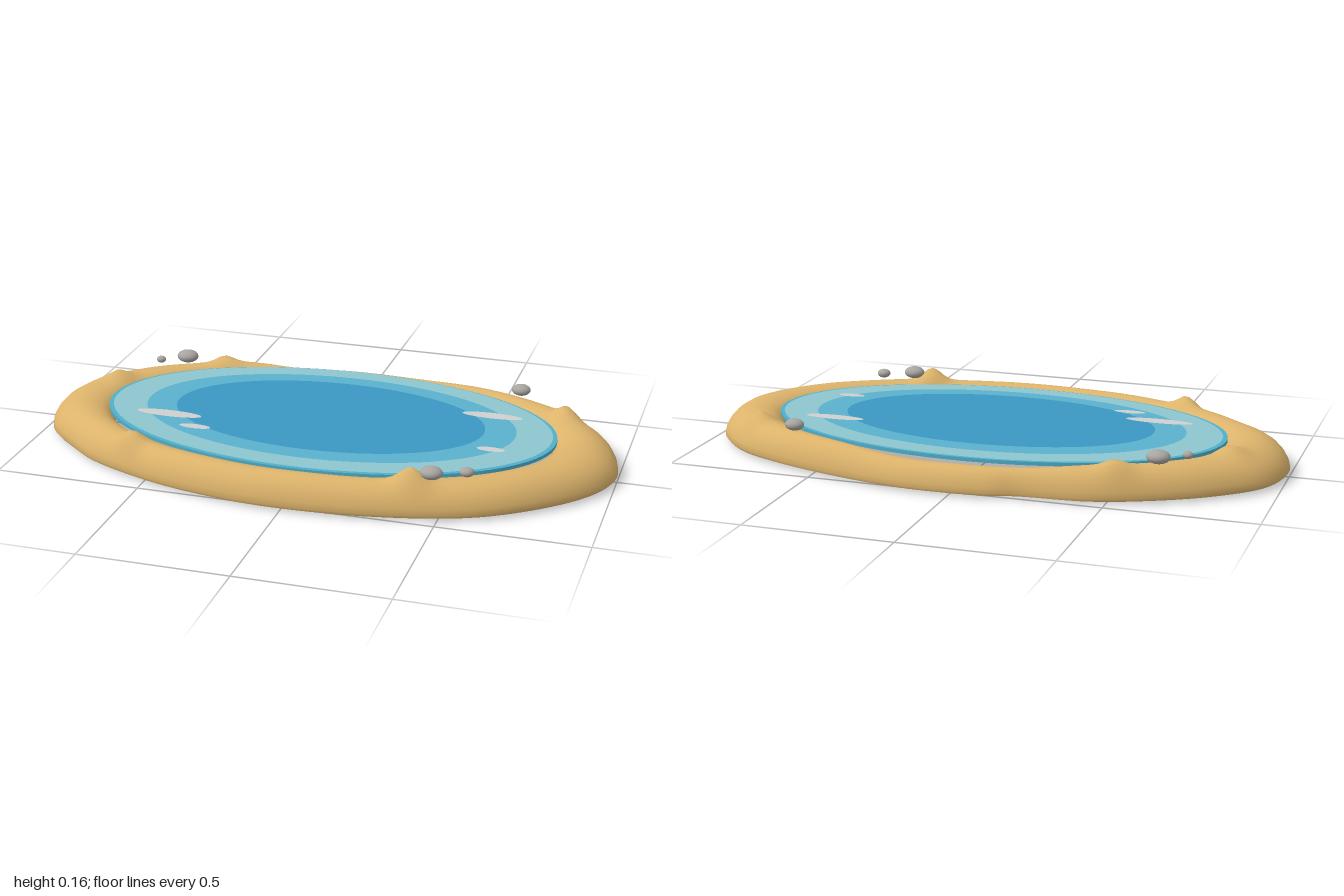
import * as THREE from 'three';

const mat = (name, color) => {
  const m = new THREE.MeshStandardMaterial({ color });
  m.name = name;
  return m;
};

const CENTRE_Z = -0.016, WATER_RX = 0.79, WATER_RZ = 0.441;

// Outer shoreline as x, z pairs, running from +x round the back
const SHORE = [
  [1, 0], [0.955, -0.18], [0.835, -0.32], [0.685, -0.4], [0.41, -0.49], [0.14, -0.54],
  [-0.13, -0.53], [-0.22, -0.505], [-0.45, -0.485], [-0.62, -0.425], [-0.82, -0.31],
  [-0.96, -0.17], [-1, 0], [-0.95, 0.16], [-0.82, 0.285], [-0.72, 0.36], [-0.45, 0.47],
  [-0.18, 0.525], [0, 0.535], [0.3, 0.51], [0.62, 0.42], [0.86, 0.25], [0.97, 0.11],
];

// Bank section: t runs from the water's edge (0) to the shoreline (1), then y
const UNDERSIDE = [[0.02, 0.012], [0.5, 0.01], [0.96, 0.012]];
const TOPSIDE = [
  [0.96, 0.012], [1, 0.022], [0.98, 0.042], [0.92, 0.064], [0.83, 0.084], [0.7, 0.101],
  [0.56, 0.111], [0.42, 0.115], [0.28, 0.113], [0.15, 0.106], [0.05, 0.094],
  [-0.02, 0.078], [-0.04, 0.055], [-0.02, 0.03], [0.02, 0.012],
];

// Small mounds on the bank: x, z, height, radius
const MOUNDS = [
  [-0.57, 0.375, 0.036, 0.055], [0.4, 0.415, 0.045, 0.055], [0.78, -0.27, 0.034, 0.05],
  [-0.83, -0.15, 0.026, 0.05], [-0.52, -0.42, 0.025, 0.055],
];

function bankGeometry(profile, steps = 200) {
  const curve = new THREE.CatmullRomCurve3(SHORE.map(([x, z]) => new THREE.Vector3(x, 0, z)), true);
  const pos = [], index = [], n = profile.length;
  for (let j = 0; j < steps; j++) {
    const o = curve.getPointAt(j / steps);
    const a = Math.atan2(o.z / 0.535, o.x);
    const ix = 0.785 * Math.cos(a), iz = CENTRE_Z + 0.438 * Math.sin(a);
    // the bank sinks a little along the middle of the back
    const sink = o.z < 0 ? 0.2 * Math.exp(-((o.x / 0.42) ** 4)) : 0;
    for (const [t, h] of profile) {
      const x = ix + (o.x - ix) * t, z = iz + (o.z - iz) * t;
      let y = h;
      if (h > 0.02) {
        y = 0.012 + (h - 0.012) * (1 - sink + 0.012 * Math.sin(a * 9) * Math.sin(a * 5 + 1));
        const weight = THREE.MathUtils.smoothstep(h, 0.05, 0.1);
        for (const [mx, mz, mh, r] of MOUNDS) {
          y += weight * mh * Math.exp(-((x - mx) ** 2 + (z - mz) ** 2) / (r * r * 0.6));
        }
      } else if (h <= 0.012) {
        y -= 0.01 * Math.exp(-((x + 0.8) ** 2 + (z - 0.05) ** 2) / 0.006);
      }
      pos.push(x, y, z);
    }
    const k = (j + 1) % steps;
    for (let i = 0; i < n - 1; i++) {
      const p = j * n + i, q = k * n + i;
      index.push(p, q, p + 1, q, q + 1, p + 1);
    }
  }
  const g = new THREE.BufferGeometry();
  g.setAttribute('position', new THREE.Float32BufferAttribute(pos, 3));
  g.setIndex(index);
  g.computeVertexNormals();
  return g;
}

export function createModel() {
  const model = new THREE.Group();
  model.name = 'pond';
  const sand = mat('sand', 0xdcb36b);
  const edge = mat('waterEdge', 0x4fafcb);
  const shallow = mat('shallowWater', 0x8dc6cf);
  const middle = mat('middleWater', 0x5ab0cd);
  const deep = mat('deepWater', 0x3a97c2);
  const glint = mat('glint', 0xcfcfcf);
  const stone = mat('stone', 0xa9a5a0);

  const add = (name, geometry, material, parent = model) => {
    const m = new THREE.Mesh(geometry, material);
    m.name = name;
    parent.add(m);
    return m;
  };

  // Sandy bank
  const bank = new THREE.Group();
  bank.name = 'bank';
  model.add(bank);
  add('bankTop', bankGeometry(TOPSIDE), sand, bank);
  add('bankUnderside', bankGeometry(UNDERSIDE), sand, bank);

  // Water body, with thin depth bands on top
  const body = add('waterBody', new THREE.CylinderGeometry(1, 1, 0.012, 96), edge);
  body.scale.set(WATER_RX, 1, WATER_RZ);
  body.position.set(0, 0.103, CENTRE_Z);

  const disc = new THREE.CircleGeometry(1, 80).rotateX(-Math.PI / 2);
  const flat = (name, material, x, y, z, rx, rz) => {
    const m = add(name, disc, material);
    m.position.set(x, y, z);
    m.scale.set(rx, 1, rz);
  };
  flat('shallowBand', shallow, 0, 0.111, -0.018, 0.775, 0.433);
  flat('middleBand', middle, 0, 0.113, -0.018, 0.652, 0.364);
  flat('deepCentre', deep, 0, 0.115, -0.018, 0.545, 0.3);

  // Light glints on the water
  [
    [-0.53, 0.125, 0.117, 0.027], [-0.405, 0.208, 0.055, 0.018],
    [0.54, -0.173, 0.105, 0.025], [0.595, 0.11, 0.047, 0.018],
  ].forEach(([x, z, rx, rz], i) => flat(`glint${i + 1}`, glint, x, 0.117, z, rx, rz));

  // Pebbles resting on the bank: x, y, z, radius
  const ball = new THREE.SphereGeometry(1, 24, 16);
  [
    [0.465, 0.141, 0.4, 0.037], [0.57, 0.139, 0.358, 0.024], [0.598, 0.141, -0.378, 0.033],
    [-0.642, 0.141, -0.355, 0.039], [-0.725, 0.139, -0.3, 0.017],
  ].forEach(([x, y, z, r], i) => {
    const p = add(`pebble${i + 1}`, ball, stone);
    p.position.set(x, y, z);
    p.scale.set(r, r * 0.45 + 0.005, r * 0.85);
  });

  return model;
}
